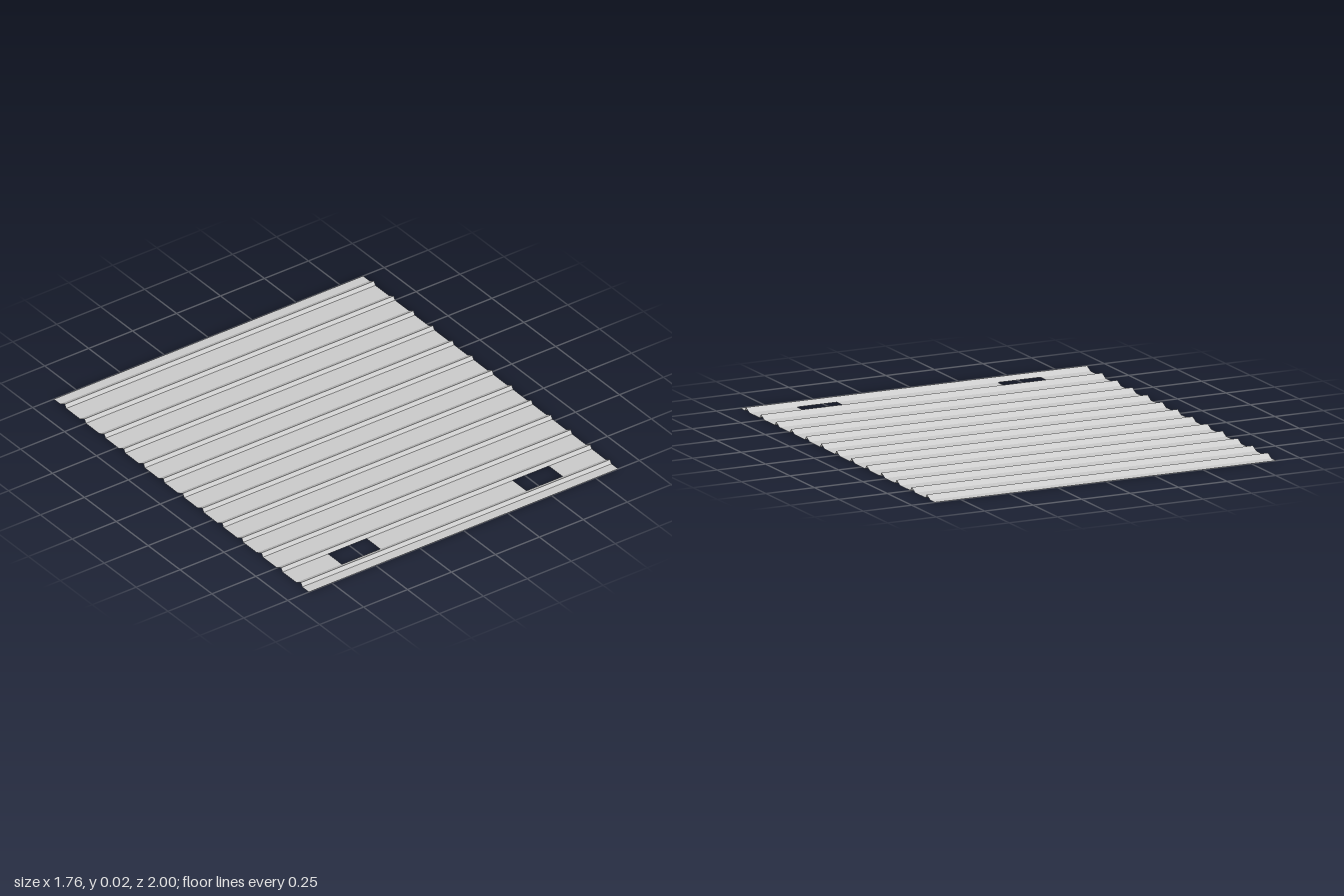
import * as THREE from 'three';
import { mergeGeometries } from 'three/addons/utils/BufferGeometryUtils.js';

const HALF_W = 0.88, HEIGHT = 0.018;
const RIBS = 13, PITCH = 0.1542, FIRST_RIB = -0.95;
const RAMP = 0.036, DROP = 0.011;

// One flat strip across the sheet from (z0, y0) to (z1, y1), facing up
function strip(z0, y0, z1, y1, x0 = -HALF_W, x1 = HALF_W) {
  const g = new THREE.PlaneGeometry(1, 1);
  const p = g.attributes.position;
  for (let i = 0; i < p.count; i++) {
    const back = p.getY(i) > 0;
    p.setXYZ(i, p.getX(i) < 0 ? x0 : x1, back ? y0 : y1, back ? z0 : z1);
  }
  g.computeVertexNormals();
  return g;
}

export function createModel() {
  const group = new THREE.Group();
  group.name = 'ribbedSheet';
  const material = new THREE.MeshStandardMaterial({
    color: 0xcccccc, flatShading: true, side: THREE.DoubleSide,
  });
  const add = (name, parts) => {
    const mesh = new THREE.Mesh(mergeGeometries(parts), material);
    mesh.name = name;
    group.add(mesh);
  };

  const panels = [], ribs = [];
  let z = -1;
  for (let i = 0; i < RIBS; i++) {
    const start = FIRST_RIB + i * PITCH;
    const crest = start + RAMP;
    // Flat panel behind the rib; the last one is split around two openings
    const spans = i === RIBS - 1
      ? [[-HALF_W, -0.62], [-0.402, 0.43], [0.635, HALF_W]]
      : [[-HALF_W, HALF_W]];
    for (const [x0, x1] of spans) panels.push(strip(z, 0, start, 0, x0, x1));
    // Rib: gentle rise, then a steep drop
    ribs.push(strip(start, 0, crest, HEIGHT), strip(crest, HEIGHT, crest + DROP, 0));
    z = crest + DROP;
  }
  panels.push(strip(z, 0, 1, 0));

  add('flatPanels', panels);
  add('ribs', ribs);
  return group;
}
